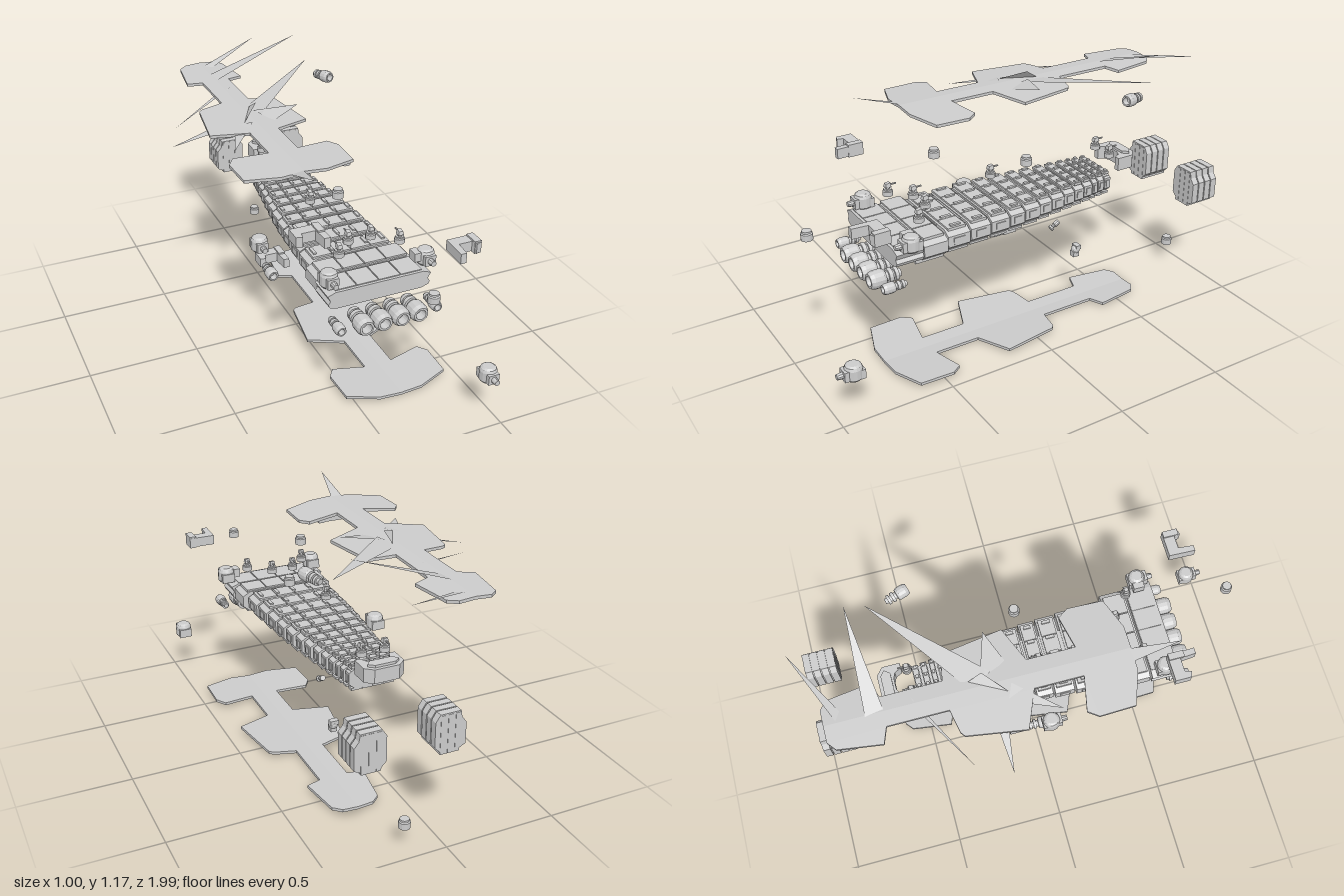
import * as THREE from 'three';
import { ConvexGeometry } from 'three/addons/geometries/ConvexGeometry.js';

export function createModel() {
  const root = new THREE.Group();
  const mat = new THREE.MeshStandardMaterial({ color: 0xcccccc, flatShading: true });
  const thin = new THREE.MeshStandardMaterial({ color: 0xcccccc, flatShading: true, side: THREE.DoubleSide });

  const add = (name, geo, pos = [0, 0, 0], parent = root, m = mat) => {
    const mesh = new THREE.Mesh(geo, m);
    mesh.name = name;
    mesh.position.set(...pos);
    parent.add(mesh);
    return mesh;
  };
  const group = (name, pos) => {
    const g = new THREE.Group();
    g.name = name;
    g.position.set(...pos);
    root.add(g);
    return g;
  };
  const box = (name, x, y, z, w, h, d, parent = root) => add(name, new THREE.BoxGeometry(w, h, d), [x, y, z], parent);
  const toShape = pts => new THREE.Shape(pts.map(p => new THREE.Vector2(...p)));
  // outline in x/z, raised along y
  const slabY = (pts, h) => new THREE.ExtrudeGeometry(toShape(pts.map(([x, z]) => [x, -z])),
    { depth: h, bevelEnabled: false }).rotateX(-Math.PI / 2);
  // outline in x/y, centred along z
  const slabZ = (pts, d) => new THREE.ExtrudeGeometry(toShape(pts),
    { depth: d, bevelEnabled: false }).translate(0, 0, -d / 2);
  const lathe = (pts, n) => new THREE.LatheGeometry(pts.map(p => new THREE.Vector2(...p)), n);

  // ---- armour plates: mirrored halves, folded along the centre line
  const plateHalf = [[0, -0.62], [0.07, -0.62], [0.107, -0.59], [0.134, -0.40], [0.065, -0.375],
    [0.065, -0.115], [0.165, -0.095], [0.185, -0.08], [0.225, 0.175], [0.065, 0.24], [0.065, 0.45], [0.213, 0.42],
    [0.245, 0.465], [0.24, 0.62], [0.10, 0.67], [0, 0.67]];
  function plate(name, pos, slope) {
    const g = group(name, pos);
    for (const s of [1, -1]) {
      const geo = slabY(plateHalf.map(([x, z]) => [x * s, z]), 0.013);
      const p = geo.attributes.position;
      for (let i = 0; i < p.count; i++) p.setY(i, p.getY(i) + Math.abs(p.getX(i)) * slope);
      geo.computeVertexNormals();
      add(name + 'Half', geo, [0, 0, 0], g);
    }
  }
  plate('lowerPlate', [0.205, 0.004, 0], 0.07);
  plate('upperPlate', [-0.13, 1.014, -0.285], -0.07);

  // ---- torn shards around the upper plate: tip and two base corners
  const shards = [
    [[0.325, 1.07, -0.635], [-0.13, 1.02, -0.30], [-0.08, 1.03, -0.20]],
    [[0.296, 1.175, -0.71], [-0.14, 1.02, -0.655], [-0.14, 1.025, -0.735]],
    [[0.19, 1.085, -0.99], [-0.13, 1.025, -0.85], [-0.10, 1.02, -0.82]],
    [[-0.43, 0.96, -0.355], [-0.17, 1.02, -0.52], [-0.10, 1.03, -0.54]],
    [[-0.497, 0.94, -0.21], [-0.18, 1.02, -0.24], [-0.20, 1.01, -0.17]],
    [[-0.30, 1.0, 0.05], [-0.22, 1.02, -0.16], [-0.15, 1.03, -0.13]],
    [[-0.175, 1.085, 0.58], [-0.19, 1.015, 0.36], [-0.13, 1.025, 0.37]],
    [[-0.09, 1.07, -0.24], [-0.18, 1.025, -0.15], [-0.10, 1.03, -0.30]],
    [[0.09, 1.05, -0.19], [-0.10, 1.03, -0.25], [-0.05, 1.02, -0.13]],
    [[-0.26, 1.0, -0.18], [-0.14, 1.005, -0.14], [-0.15, 0.965, -0.25]],
    [[-0.26, 1.0, -0.18], [-0.22, 0.967, -0.20], [-0.15, 0.965, -0.25]],
    [[-0.10, 0.975, -0.28], [-0.14, 1.02, -0.10], [-0.11, 1.02, -0.16]],
  ];
  for (const s of shards) {
    const geo = new THREE.BufferGeometry().setFromPoints(s.map(p => new THREE.Vector3(...p)));
    geo.computeVertexNormals();
    add('tornShard', geo, [0, 0, 0], root, thin);
  }

  // ---- hull: shrinking ribs from the broad bow to the narrow stern
  const hull = group('hull', [0.09, 0, 0]);
  const halfWidth = z => z > 0 ? 0.18 + 0.06 * z : 0.18 + 0.14 * z;
  const ribPts = (w, y) => [[-w + 0.03, y - 0.05], [w - 0.03, y - 0.05], [w, y - 0.025], [w, y + 0.025],
    [w - 0.035, y + 0.045], [-w + 0.035, y + 0.045], [-w, y + 0.025], [-w, y - 0.025]];
  const cuts = [0.395, 0.28, 0.175, 0.077, -0.005, -0.09, -0.16, -0.232, -0.295, -0.352, -0.405, -0.44, -0.48, -0.52];
  for (let i = 0; i < cuts.length - 1; i++) {
    const front = cuts[i], back = cuts[i + 1], d = front - back - 0.009, z = (front + back) / 2;
    const y = 0.562 - 0.01 * z, w = halfWidth(z);
    add('hullRib', slabZ(ribPts(w, y), d), [0, 0, z], hull);
    // deck panels, ridges and underside tiles
    for (let k = -1.5; k <= 1.5; k++) {
      const x = k * w * 0.45, pw = w * 0.43;
      box('deckPanel', x, y + 0.047, z, pw, 0.012, d * 0.8, hull);
      box('keelTile', x, y - 0.052, z, pw, 0.01, d * 0.92, hull);
    }
    for (let k = -2; k <= 2; k++) box('deckRidge', k * w * 0.4, y + 0.053, z, 0.014, 0.014, d * 0.45, hull);
    for (const s of [1, -1]) box('sideVent', s * w, y, z, 0.008, 0.03, d * 0.5, hull);
  }
  box('hullSpine', 0, 0.565, -0.06, 0.2, 0.07, 0.91, hull);

  // ---- bow
  const bow = [[-0.19, 0.525], [0.19, 0.525], [0.225, 0.535], [0.232, 0.55], [0.222, 0.565], [0.235, 0.59],
    [0.20, 0.603], [-0.20, 0.603], [-0.235, 0.59], [-0.222, 0.565], [-0.232, 0.55], [-0.225, 0.535]];
  add('bowBlock', slabZ(bow, 0.125), [0, 0, 0.585], hull);
  add('bowRib', slabZ(ribPts(0.222, 0.56), 0.112), [0, 0, 0.459], hull);
  for (let k = -1.5; k <= 1.5; k++) {
    box('bowDeckPanel', k * 0.1, 0.606, 0.459, 0.095, 0.012, 0.095, hull);
    box('bowKeelTile', k * 0.1, 0.512, 0.48, 0.095, 0.018, 0.13, hull);
    box('bowDeckPlate', k * 0.1, 0.602, 0.58, 0.095, 0.01, 0.11, hull);
  }

  // ---- curved stern block
  add('sternBlock', slabY([[-0.09, -0.045], [-0.055, -0.075], [0.055, -0.075], [0.09, -0.045], [0.09, 0.035],
    [0.065, 0.035], [0.05, 0.005], [0.025, -0.005], [-0.025, -0.005], [-0.05, 0.005], [-0.065, 0.035], [-0.09, 0.035]],
  0.062), [0.107, 0.612, -0.595]);
  add('sternCap', slabY([[-0.07, -0.04], [-0.045, -0.06], [0.045, -0.06], [0.07, -0.04], [0.05, -0.015],
    [-0.05, -0.015]], 0.012), [0.107, 0.673, -0.595]);

  // ---- thrusters: bell, waist and stacked rings, facing +z
  const bell = [[0, -0.085], [0.018, -0.085], [0.018, -0.07], [0.03, -0.07], [0.03, -0.054], [0.02, -0.054],
    [0.02, -0.044], [0.032, -0.044], [0.032, -0.026], [0.022, -0.026], [0.022, -0.014], [0.034, -0.012],
    [0.04, 0.0], [0.04, 0.04], [0.032, 0.058], [0.023, 0.058], [0.019, 0.02], [0, 0.02]];
  const thruster = (x, y, z, scale, rx = 0, ry = 0) => {
    const m = add('thruster', lathe(bell, 14).rotateX(Math.PI / 2), [x, y, z]);
    m.scale.set(scale, scale, scale > 0.9 ? 1 : 0.75);
    m.rotation.set(rx, ry, 0);
  };
  for (let i = 0; i < 4; i++) thruster(-0.01 + i * 0.0825, 0.457, 0.68, 1);
  thruster(-0.113, 0.457, 0.675, 0.6);
  thruster(0.327, 0.457, 0.675, 0.6);
  thruster(-0.13, 0.33, 0.0, 0.7);
  thruster(0.355, 1.035, -0.485, 0.7, -0.1, 0.3);

  // ---- loose gun barrel
  const barrel = add('looseBarrel', lathe([[0, -0.025], [0.012, -0.025], [0.012, 0], [0.008, 0.002], [0.008, 0.012],
    [0.014, 0.014], [0.014, 0.025], [0, 0.025]], 10).rotateX(Math.PI / 2), [0.19, 0.424, -0.215]);
  barrel.rotation.x = 0.5;

  // ---- rounded pods with a stub barrel
  const podProfile = [[0, -0.035], [0.03, -0.035], [0.038, -0.025], [0.038, 0.018], [0.033, 0.03], [0.024, 0.036], [0, 0.036]];
  function pod(x, y, z) {
    const g = group('pod', [x, y, z]);
    add('podBody', lathe(podProfile, 16), [0, 0, 0], g);
    box('podCheek', 0, -0.004, 0.03, 0.05, 0.045, 0.035, g);
    box('podBack', 0, -0.01, -0.026, 0.06, 0.042, 0.03, g);
    add('podBarrel', new THREE.CylinderGeometry(0.012, 0.015, 0.03, 10).rotateX(Math.PI / 2), [0, -0.004, 0.058], g);
  }
  [[-0.113, 0.637, 0.585], [0.33, 0.637, 0.585], [-0.195, 0.52, 0.035], [0.462, 0.225, 0.925]].forEach(p => pod(...p));
  box('podMount', 0.285, 0.645, 0.58, 0.03, 0.04, 0.05);

  // ---- hooked brackets (side = 1 has the long arm at -x)
  function bracket(x, y, z, side) {
    const g = group('bracket', [x, y, z]);
    const pts = [[-0.062, 0.06], [-0.058, -0.06], [0.062, -0.06], [0.062, 0.01], [0.036, 0.018], [0.03, -0.01],
      [-0.03, -0.01], [-0.036, 0.06]].map(([a, b]) => [a * side, b]);
    add('bracketBody', slabY(pts, 0.045), [0, -0.024, 0], g);
    box('bracketEnd', 0.047, 0, -0.025, 0.03, 0.056, 0.068, g);
  }
  bracket(-0.21, 0.86, 0.612, -1);
  bracket(0.393, 0.766, 0.79, 1);
  bracket(-0.085, 0.339, -0.088, -1);

  // ---- ribbed stern boxes, a mirrored pair
  const boxOutline = [[-0.065, -0.05], [-0.03, -0.085], [0.025, -0.085], [0.05, -0.07], [0.07, -0.06], [0.07, 0.035],
    [0.05, 0.06], [0.045, 0.09], [-0.045, 0.09], [-0.065, 0.06]];
  for (const s of [1, -1]) {
    const g = group('ribbedBox', [0.165 + s * 0.167, 0.516, -0.912]);
    for (let i = 0; i < 4; i++)
      add('boxSlab', slabZ(boxOutline.map(([x, y]) => [x * s, y]), 0.031), [0, 0, -0.054 + i * 0.036], g);
    add('boxCore', slabZ(boxOutline.map(([x, y]) => [x * s * 0.9, y * 0.93]), 0.13), [0, 0, 0], g);
    for (let k = -1; k <= 1; k++) box('boxRib', k * 0.032, 0.0, 0, 0.02, 0.168, 0.142, g);
  }

  // ---- small caps and deck guns
  const capProfile = [[0, -0.02], [0.025, -0.02], [0.025, 0.008], [0.02, 0.012], [0.02, 0.02], [0, 0.02]];
  const cap = (x, y, z) => add('cap', lathe(capProfile, 14), [x, y, z]);
  [[0.05, 0.86, 0.32], [0.247, 0.82, -0.018], [0.155, 0.123, -0.93], [0.155, 0.698, 0.953]].forEach(p => cap(...p));

  function deckGun(x, z, y = 0.69) {
    const g = group('deckGun', [x, y, z]);
    add('gunBase', lathe(capProfile, 12).scale(0.9, 0.75, 0.9), [0, 0, 0], g);
    add('gunNeck', new THREE.CylinderGeometry(0.008, 0.01, 0.02, 8), [0, 0.02, 0], g);
    add('gunHead', new ConvexGeometry([-1, 1].flatMap(s => [[s * 0.012, 0.024, -0.014], [s * 0.012, 0.024, 0.014],
      [s * 0.009, 0.044, -0.01], [s * 0.009, 0.04, 0.01]].map(p => new THREE.Vector3(...p)))), [0, 0, 0], g);
    add('gunBarrel', new THREE.CylinderGeometry(0.004, 0.004, 0.035, 8).rotateX(Math.PI / 2), [0, 0.032, -0.022], g);
  }
  [[-0.03, 0.505], [0.25, 0.505], [0.05, 0.425], [0.155, 0.425], [0.05, 0.04], [0.05, -0.535], [0.155, -0.535]]
    .forEach(([x, z]) => deckGun(x, z));

  // ---- drifting ball mount
  add('ballMount', new THREE.SphereGeometry(0.021, 12, 8), [0.19, 0.262, -0.34]);
  box('ballFoot', 0.19, 0.242, -0.335, 0.03, 0.026, 0.03);
  box('ballHead', 0.19, 0.275, -0.345, 0.038, 0.02, 0.026);

  return root;
}
